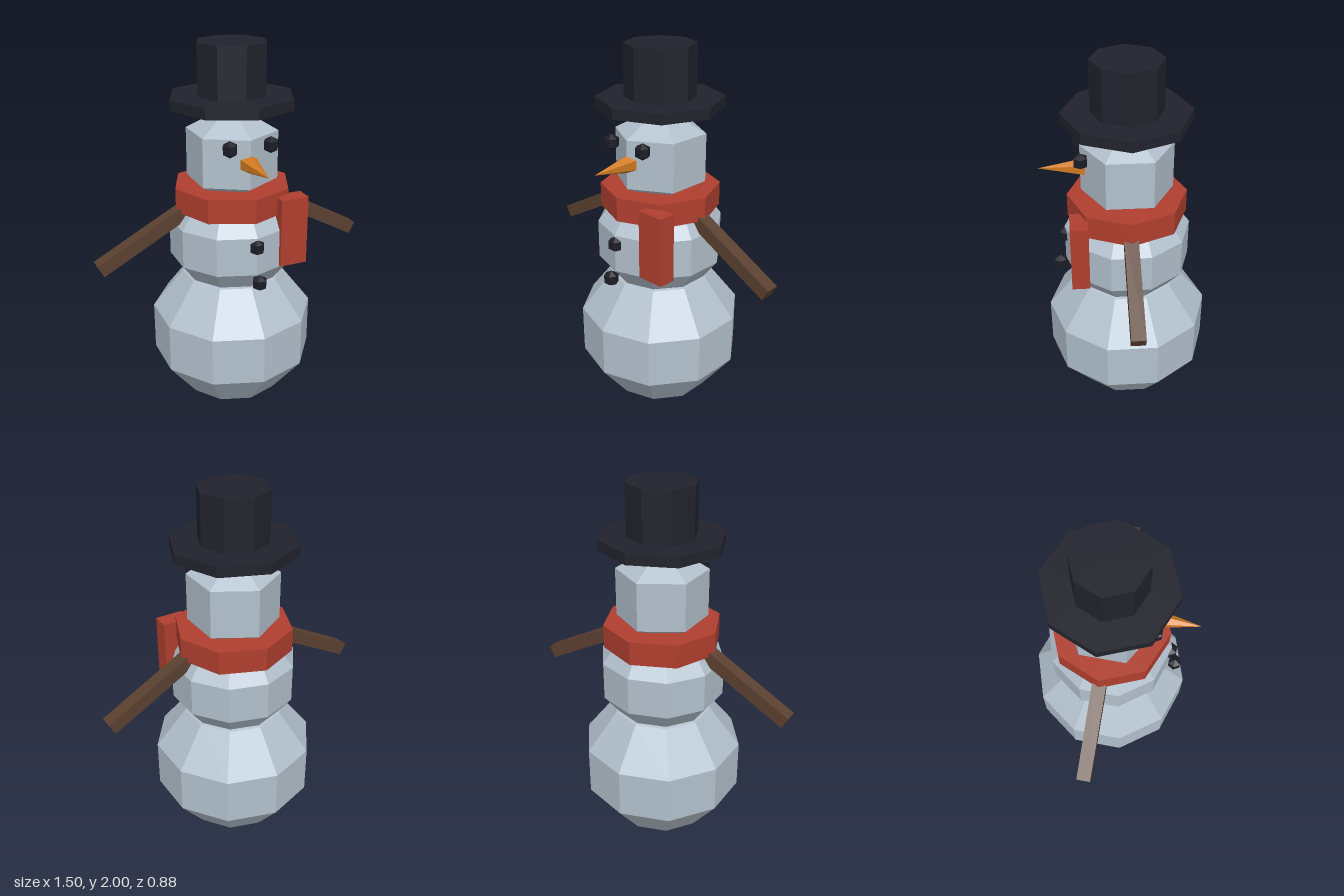
import * as THREE from 'three';

const mat = (name, color) => {
  const m = new THREE.MeshStandardMaterial({ color, flatShading: true });
  m.name = name;
  return m;
};

export function createModel() {
  const snow = mat('snow', 0xb2c0cc);
  const coal = mat('coal', 0x1c1c26);
  const felt = mat('black felt', 0x22222d);
  const wool = mat('red wool', 0xb03f2f);
  const wood = mat('brown wood', 0x5a4030);
  const carrot = mat('carrot orange', 0xd07a22);

  const AXIS = -0.007; // z of the body axis
  const group = new THREE.Group();
  group.name = 'snowman';

  const add = (name, geometry, material, x, y, z) => {
    const mesh = new THREE.Mesh(geometry, material);
    mesh.name = name;
    mesh.position.set(x, y, z);
    group.add(mesh);
    return mesh;
  };

  // Snowballs: faceted spheres with a corner facing front
  const ball = (name, y, radius, halfHeight, sides, rings) => {
    const g = new THREE.SphereGeometry(radius, sides, rings);
    g.rotateY(Math.PI / 2);
    g.scale(1, halfHeight / radius, 1);
    add(name, g, snow, 0, y, AXIS);
  };
  ball('lowerBall', 0.426, 0.458, 0.426, 10, 5);
  ball('middleBall', 0.978, 0.349, 0.328, 10, 5);
  ball('head', 1.432, 0.275, 0.254, 6, 3);

  // Top hat
  const disc = (name, r, y0, y1, material) =>
    add(name, new THREE.CylinderGeometry(r, r, y1 - y0, 8), material, 0, (y0 + y1) / 2, AXIS);
  disc('hatBrim', 0.328, 1.683, 1.737, felt);
  disc('hatCrown', 0.182, 1.73, 2.0, felt);

  // Scarf with a hanging tail
  disc('scarfWrap', 0.312, 1.152, 1.277, wool);
  add('scarfTail', new THREE.BoxGeometry(0.15, 0.365, 0.092), wool, 0.22, 1.067, 0.249);

  // Eyes and buttons
  const pebble = new THREE.SphereGeometry(0.043, 6, 3);
  for (const s of [1, -1]) add(s > 0 ? 'leftEye' : 'rightEye', pebble, coal, s * 0.109, 1.527, 0.229);
  add('upperButton', pebble, coal, 0, 1.03, 0.319);
  add('lowerButton', pebble, coal, 0, 0.848, 0.356);

  // Carrot nose
  const nose = new THREE.ConeGeometry(0.05, 0.24, 6);
  nose.rotateX(Math.PI / 2);
  add('nose', nose, carrot, 0, 1.435, 0.322);

  // Stick arms, sloping down from the shoulders
  const slope = 0.497, length = 0.56;
  for (const s of [1, -1]) {
    const arm = add(s > 0 ? 'leftArm' : 'rightArm', new THREE.BoxGeometry(length, 0.07, 0.072), wood,
      s * (0.733 - Math.cos(slope) * length / 2), 0.9 + Math.sin(slope) * length / 2, AXIS);
    arm.rotation.z = -s * slope;
  }

  return group;
}
